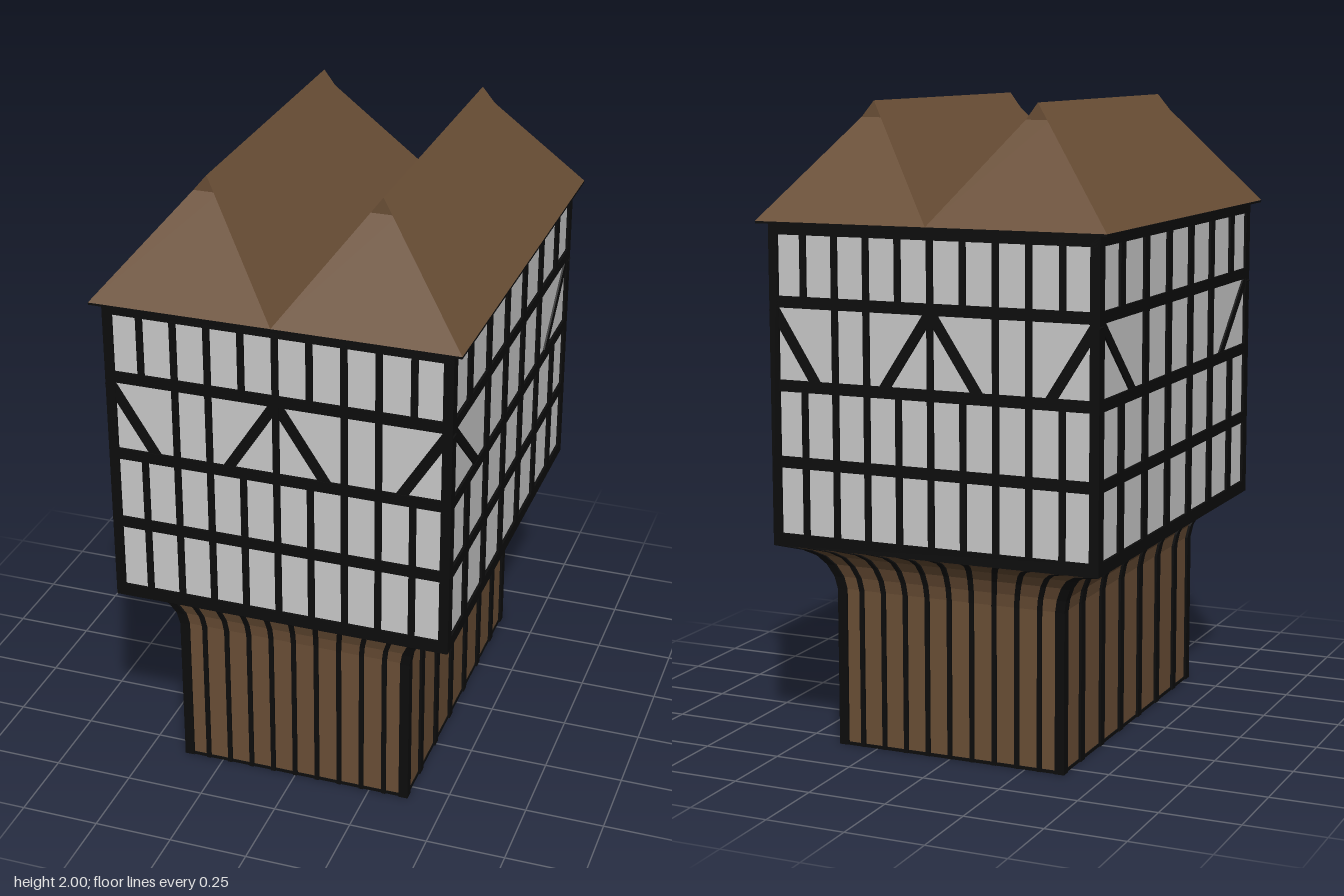
import * as THREE from 'three';

const material = (color, extra = {}) =>
  new THREE.MeshStandardMaterial({ color, flatShading: true, ...extra });

// Flared profile of the shaft: [height, share of the overhang]
const PROFILE = [[0, 0], [0.5, 0], [0.54, 0.05], [0.58, 0.17], [0.61, 0.33], [0.63, 0.55], [0.65, 1]];
const BODY_BOTTOM = 0.65, BODY_TOP = 1.64, RELIEF = 0.008;
const BEAMS = [[0.67, 0.04], [0.9125, 0.035], [1.1475, 0.035], [1.4025, 0.035], [1.6225, 0.035]];

// Flat-faced geometry from convex polygons, corners counter-clockwise from outside
function polyGeometry(polys) {
  const pos = [];
  for (const p of polys)
    for (let i = 1; i < p.length - 1; i++) pos.push(...p[0], ...p[i], ...p[i + 1]);
  const g = new THREE.BufferGeometry();
  g.setAttribute('position', new THREE.Float32BufferAttribute(pos, 3));
  g.computeVertexNormals();
  return g;
}

// Closed loft through rings stacked upward
function loft(rings) {
  const polys = [[...rings[0]].reverse(), rings[rings.length - 1]];
  for (let i = 0; i < rings.length - 1; i++) {
    const a = rings[i], b = rings[i + 1];
    a.forEach((p, j) => {
      const k = (j + 1) % a.length;
      polys.push([p, a[k], b[k], b[j]]);
    });
  }
  return polyGeometry(polys);
}

const rect = (x0, x1, z0, z1, y) => [[x0, y, z1], [x1, y, z1], [x1, y, z0], [x0, y, z0]];

export function createModel() {
  const model = new THREE.Group();
  model.name = 'timberFrameTower';
  const brown = material(0x6b4f36);
  const timber = material(0x0d0d0d);
  const plaster = material(0xcccccc);

  const add = (parent, name, geometry, mat, x = 0, y = 0, z = 0) => {
    const mesh = new THREE.Mesh(geometry, mat);
    mesh.name = name;
    mesh.position.set(x, y, z);
    parent.add(mesh);
    return mesh;
  };

  // Boarded shaft with its dark floor
  add(model, 'shaft', loft(PROFILE.map(([y, f]) => {
    const x = 0.38 - RELIEF + 0.155 * f, z = 0.565 - RELIEF + 0.12 * f;
    return rect(-x, x, -z, z, y);
  })), brown);
  add(model, 'floor', new THREE.BoxGeometry(0.75, 0.01, 1.12), timber, 0, 0.004, 0);

  // Plastered upper storeys
  const h = BODY_TOP - BODY_BOTTOM;
  add(model, 'plasterWalls',
    new THREE.BoxGeometry(2 * (0.535 - RELIEF), h - 0.004, 2 * (0.685 - RELIEF)),
    plaster, 0, BODY_BOTTOM + h / 2, 0);

  // Timber frame of one side, built facing +z
  function frameSide(name, angle, s) {
    const side = new THREE.Group();
    side.name = name;
    side.rotation.y = angle;
    const depth = 0.03, zc = s.dist - depth / 2;

    const box = (label, w, y0, y1, x) =>
      add(side, label, new THREE.BoxGeometry(w, y1 - y0, depth), timber, x, (y0 + y1) / 2, zc);

    for (const [y, t] of BEAMS) box('beam', 2 * s.half, y - t / 2, y + t / 2, 0);

    for (const { x, braced } of s.posts) {
      // Braces take the place of some posts in the third storey
      if (braced) {
        box('post', s.width, BODY_BOTTOM, 1.1475, x);
        box('post', s.width, 1.4025, BODY_TOP, x);
      } else box('post', s.width, BODY_BOTTOM, BODY_TOP, x);

      // Curved strut below each post
      add(side, 'strut', loft(PROFILE.map(([y, f]) => {
        const k = (s.baseHalf + (s.half - s.baseHalf) * f) / s.half;
        const z = s.baseDist + (s.dist - s.baseDist) * f;
        return rect((x - s.width / 2) * k, (x + s.width / 2) * k, z - depth, z, y);
      })), timber);
    }

    // Diagonal braces, mirrored
    for (const [xTop, xLow] of s.braces)
      for (const m of [-1, 1]) {
        const dx = m * (xLow - xTop), dy = 1.155 - 1.385;
        const brace = add(side, 'brace',
          new THREE.BoxGeometry(0.032, Math.hypot(dx, dy), depth - 0.002), timber,
          m * (xTop + xLow) / 2, 1.27, zc - 0.001);
        brace.rotation.z = Math.atan2(dy, dx) + Math.PI / 2;
      }
    model.add(side);
  }

  const narrow = {
    half: 0.535, dist: 0.685, baseHalf: 0.38, baseDist: 0.565, width: 0.02, posts: [],
    braces: [[0.525, 0.38], [0.005, 0.155]],
  };
  for (let k = -5; k <= 5; k++)
    narrow.posts.push({ x: k * 0.105, braced: [1, 4].includes(Math.abs(k)) });

  const wide = {
    half: 0.685, dist: 0.535, baseHalf: 0.565, baseDist: 0.38, width: 0.04,
    braces: [[0.655, 0.4]],
    posts: [-0.665, -0.5, -0.3, -0.1, 0.1, 0.3, 0.5, 0.665]
      .map((x) => ({ x, braced: Math.abs(x) === 0.5 })),
  };
  // Outer edge of the end posts is flush with the corner
  narrow.posts[0].x = -0.525;
  narrow.posts[10].x = 0.525;

  frameSide('frontFrame', 0, narrow);
  frameSide('leftFrame', Math.PI / 2, wide);
  frameSide('backFrame', Math.PI, narrow);
  frameSide('rightFrame', -Math.PI / 2, wide);

  // Twin hipped roofs with a small gablet at each ridge end
  const y0 = 1.645, y1 = 1.95, y2 = 2, zE = 0.71, zR = 0.505, xE = 0.565, r = 0.267;
  const t = (y1 - y0) / (y2 - y0), xl = r * t, xr = xE - (xE - r) * t;
  const ends = (z, zr) => ({
    A: [0, y0, z], B: [xE, y0, z], C: [xr, y1, zr], D: [xl, y1, zr], R: [r, y2, zr],
  });
  const f = ends(zE, zR), b = ends(-zE, -zR);
  const roofGeometry = polyGeometry([
    [f.A, f.B, f.C, f.D], [f.D, f.C, f.R],
    [b.B, b.A, b.D, b.C], [b.C, b.D, b.R],
    [f.B, b.B, b.C, b.R, f.R, f.C],
    [b.A, f.A, f.D, f.R, b.R, b.D],
  ]);
  add(model, 'leftRoof', roofGeometry, brown);
  add(model, 'rightRoof', roofGeometry, brown).rotation.y = Math.PI;
  add(model, 'soffit', new THREE.BoxGeometry(2 * xE, 0.006, 2 * zE), timber, 0, y0 - 0.004, 0);

  return model;
}
